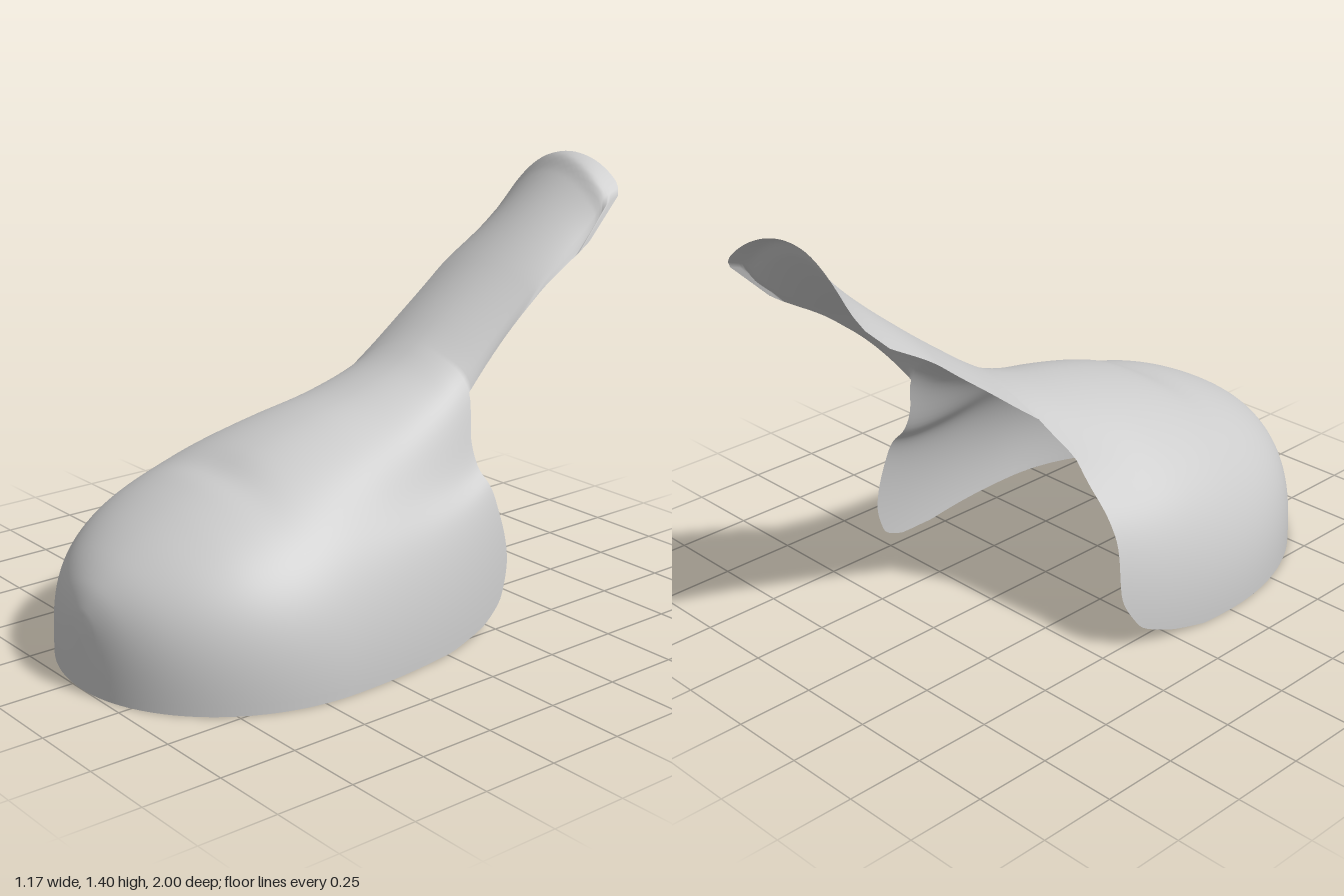
import * as THREE from 'three';

const { lerp, smoothstep, degToRad, clamp } = THREE.MathUtils;
const bell = (x, centre, width) => Math.exp(-(((x - centre) / width) ** 2));

// Smooth monotone interpolation through [key, value] points with rising keys.
function profile(pts) {
  const n = pts.length;
  const d = (i) => (pts[i + 1][1] - pts[i][1]) / (pts[i + 1][0] - pts[i][0]);
  const slope = (i) => {
    if (i === 0) return d(0);
    if (i === n - 1) return d(n - 2);
    const a = d(i - 1), b = d(i);
    return a * b <= 0 ? 0 : (2 * a * b) / (a + b);
  };
  return (x) => {
    let i = 0;
    while (i < n - 2 && x > pts[i + 1][0]) i++;
    const w = pts[i + 1][0] - pts[i][0];
    const t = clamp((x - pts[i][0]) / w, 0, 1);
    const t2 = t * t, t3 = t2 * t;
    return (2 * t3 - 3 * t2 + 1) * pts[i][1] + (t3 - 2 * t2 + t) * w * slope(i)
      + (3 * t2 - 2 * t3) * pts[i + 1][1] + (t3 - t2) * w * slope(i + 1);
  };
}

const MID = 0.05; // x of the ridge line

// Height of the ridge along z, from the tongue tip to the toe
const ridge = profile([
  [-1, 1.425], [-0.93, 1.392], [-0.9, 1.345], [-0.8, 1.235], [-0.6, 1.065], [-0.4, 0.915],
  [-0.3, 0.845], [-0.2, 0.785], [-0.1, 0.745], [0, 0.715], [0.15, 0.683], [0.3, 0.645],
  [0.45, 0.597], [0.6, 0.546], [0.7, 0.505], [0.85, 0.42], [0.95, 0.33], [0.99, 0.25], [1, 0.18],
]);

// Rear edge of the cap: z by angle around the arch (-90 right side, 90 left side)
const rearEdge = profile([
  [-90, 0.15], [-88, -0.02], [-85, -0.13], [-77, -0.185], [-62, -0.165], [-38, -0.165],
  [-28, -0.23], [-15, -0.28], [15, -0.3], [33, -0.325], [42, -0.287], [64, -0.31],
  [78, -0.34], [85, -0.3], [88.3, -0.2], [90, 0],
]);

// Slanted end of the tongue: z by x
const tongueEnd = profile([
  [-0.195, -0.8], [-0.185, -0.86], [-0.15, -0.905], [-0.1, -0.915], [0, -0.93],
  [0.1, -0.96], [0.2, -0.992], [0.25, -1], [0.275, -0.98], [0.285, -0.93], [0.29, -0.84],
]);

// Half width of the plan outline on each side of the ridge line
function halfWidth(z, side) {
  const [full, zMax, taper] = side < 0 ? [0.64, 0.25, 0.32] : [0.535, 0.4, 0.228];
  if (z < zMax) return full - taper * (zMax - z) ** 2;
  return full * Math.sqrt(Math.max(0, 1 - ((z - zMax) / (1 - zMax)) ** 2));
}

// Point of the arched cap at an angle and a depth
function capPoint(deg, z) {
  const s = Math.sin(degToRad(deg));
  const x = MID + halfWidth(z, s) * s;
  // The toe is fuller, the shoulders beside the neck are hollowed
  const fullness = 0.88 - 0.23 * smoothstep(z, 0.2, 0.95);
  const hollow = s < 0
    ? 0.08 * (1 - smoothstep(z, -0.25, 0.4)) * bell(s, -0.68, 0.17)
    : 0.115 * (1 - smoothstep(z, -0.35, 0.4)) * bell(s, 0.72, 0.13);
  const h = Math.max(0, Math.cos(degToRad(deg))) ** fullness - hollow;
  // Shallow crease across the top of the toe
  const crease = 0.014 * bell(z, 0.49, 0.06) * bell(x, MID, 0.2);
  return new THREE.Vector3(x, Math.max(0.005, ridge(z) * h - crease), z);
}

// Point of the gently arched tongue
function tonguePoint(x, z) {
  const bend = 0.07 + 0.09 * smoothstep(-z, 0.6, 1);
  return new THREE.Vector3(x, ridge(z) - bend * ((x - MID) / 0.24) ** 2, z);
}

function shellGeometry() {
  const COLS = 128, CAP_ROWS = 64, TONGUE_ROWS = 56;
  const positions = [], index = [];
  const angles = [];
  for (let j = 0; j <= COLS; j++) {
    const u = (2 * j) / COLS - 1;
    angles.push(90 * (1.5 * u - 0.5 * u ** 3));
  }
  const quad = (a, b, c, d) => index.push(a, b, c, b, d, c);

  // Toe cap and side wings
  for (let i = 0; i <= CAP_ROWS; i++) {
    const v = (i / CAP_ROWS) ** 1.8;
    for (const deg of angles) {
      capPoint(deg, lerp(1, rearEdge(deg), v)).toArray(positions, positions.length);
    }
  }
  const W = COLS + 1;
  for (let i = 0; i < CAP_ROWS; i++) {
    for (let j = 0; j < COLS; j++) {
      const a = i * W + j;
      quad(a, a + 1, a + W, a + W + 1);
    }
  }

  // Tongue, grown from the middle of the cap's rear edge
  const first = angles.findIndex((d) => d >= -28);
  const last = angles.findIndex((d) => d >= 33);
  const n = last - first + 1;
  const sine = (j) => Math.sin(degToRad(angles[j]));
  let previous = CAP_ROWS * W + first;
  for (let i = 1; i <= TONGUE_ROWS; i++) {
    const r = i / TONGUE_ROWS;
    const start = positions.length / 3;
    for (let j = first; j <= last; j++) {
      const t = (sine(j) - sine(first)) / (sine(last) - sine(first));
      const x = -0.195 + 0.485 * t;
      const root = capPoint(angles[j], rearEdge(angles[j]));
      const offset = root.clone().sub(tonguePoint(x, root.z));
      const p = tonguePoint(x, lerp(root.z, tongueEnd(x), r));
      p.addScaledVector(offset, Math.max(0, 1 - r / 0.45) ** 2);
      p.toArray(positions, positions.length);
    }
    for (let k = 0; k < n - 1; k++) {
      quad(previous + k, previous + k + 1, start + k, start + k + 1);
    }
    previous = start;
  }

  const geometry = new THREE.BufferGeometry();
  geometry.setAttribute('position', new THREE.Float32BufferAttribute(positions, 3));
  geometry.setIndex(index);
  geometry.computeVertexNormals();
  return geometry;
}

export function createModel() {
  const model = new THREE.Group();
  model.name = 'toeCapWithTongue';
  const material = new THREE.MeshStandardMaterial({ color: 0xcccccc, side: THREE.DoubleSide });
  const shell = new THREE.Mesh(shellGeometry(), material);
  shell.name = 'capAndTongueShell';
  model.add(shell);
  return model;
}
